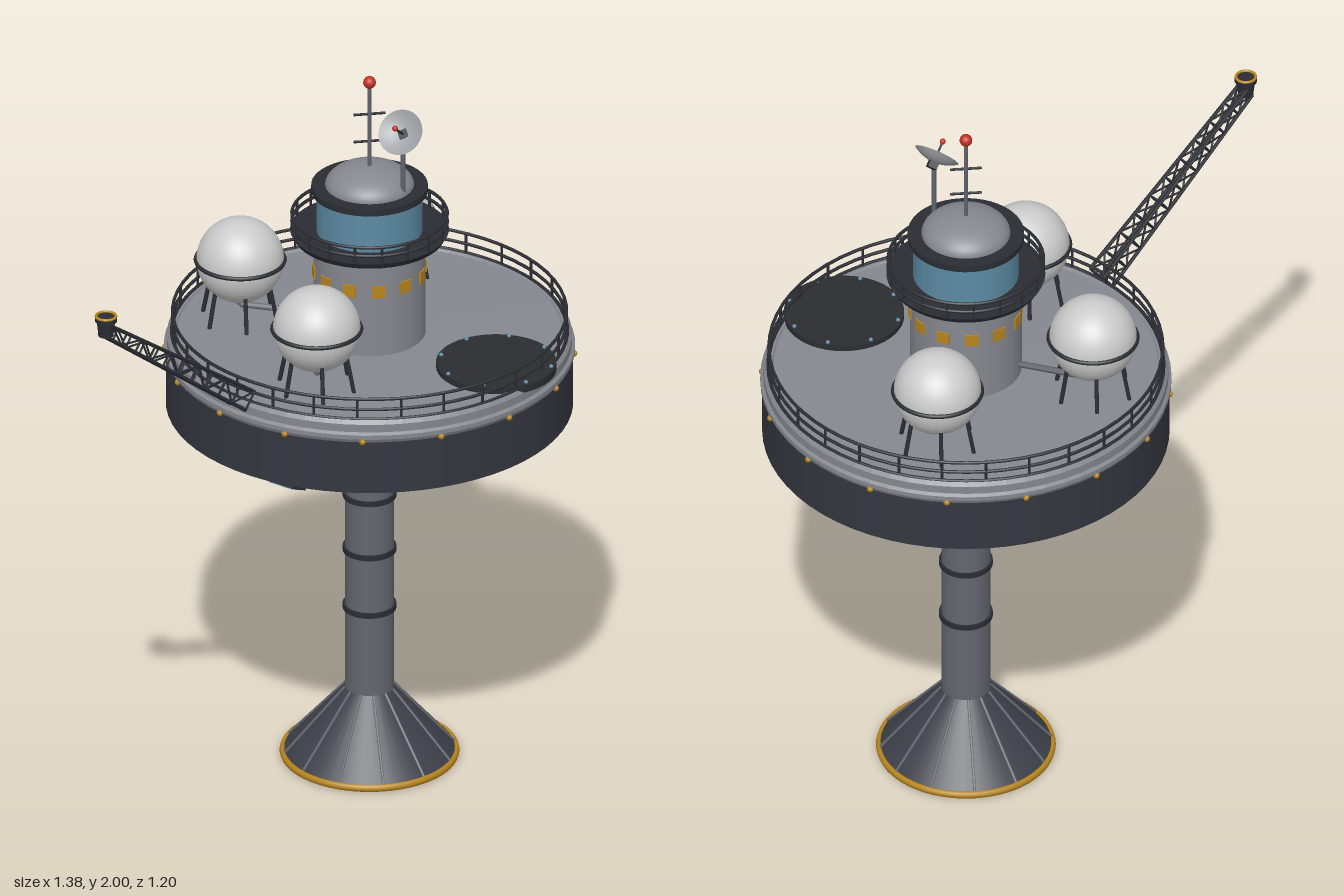
import * as THREE from 'three';

const mat = (color, side = THREE.FrontSide) => new THREE.MeshStandardMaterial({ color, side });
const V = (x, y, z) => new THREE.Vector3(x, y, z);
const UP = V(0, 1, 0);

export function createModel() {
  const root = new THREE.Group();
  root.name = 'oceanPlatform';
  root.position.set(0.143, 0, -0.06); // main axis stands off-centre because of the crane

  const hullDark = mat(0x343740), steel = mat(0x63666e), deckGrey = mat(0x85888f);
  const trim = mat(0x2b2d33), gold = mat(0xb8861c), glass = mat(0x5c8aa3);
  const pale = mat(0xcccccc), red = mat(0xc03020), padDark = mat(0x2c2d30);
  const coneMat = mat(0x3d4049, THREE.DoubleSide), dishMat = mat(0xa0a3a8, THREE.DoubleSide);

  const add = (name, geo, material, x = 0, y = 0, z = 0, parent = root) => {
    const m = new THREE.Mesh(geo, material);
    m.name = name;
    m.position.set(x, y, z);
    parent.add(m);
    return m;
  };
  const group = (name, parent = root) => {
    const g = new THREE.Group();
    g.name = name;
    parent.add(g);
    return g;
  };
  // Upright cylinder from y0 to y1
  const drum = (name, rTop, rBottom, y0, y1, material, parent = root, x = 0, z = 0, seg = 48) =>
    add(name, new THREE.CylinderGeometry(rTop, rBottom, y1 - y0, seg), material, x, (y0 + y1) / 2, z, parent);
  // Horizontal ring
  const ring = (name, r, tube, y, material, parent = root, x = 0, z = 0) => {
    const m = add(name, new THREE.TorusGeometry(r, tube, 8, 64), material, x, y, z, parent);
    m.rotation.x = Math.PI / 2;
    return m;
  };
  // Round bar between two points
  const bar = (name, a, b, r, material, parent = root) => {
    const d = b.clone().sub(a);
    const m = add(name, new THREE.CylinderGeometry(r, r, d.length(), 6), material, 0, 0, 0, parent);
    m.position.copy(a).add(b).multiplyScalar(0.5);
    m.quaternion.setFromUnitVectors(UP, d.normalize());
    return m;
  };
  // Point at angle a (0 faces +z), radius r
  const polar = (a, r, y) => V(Math.sin(a) * r, y, Math.cos(a) * r);
  const around = (n, fn, offset = 0) => {
    for (let i = 0; i < n; i++) fn(((i + offset) / n) * Math.PI * 2);
  };
  const railing = (name, r, yBase, heights, posts) => {
    const g = group(name);
    heights.forEach(y => ring('handRail', r, 0.0045, y, trim, g));
    around(posts, a => bar('railPost', polar(a, r, yBase), polar(a, r, heights[0]), 0.004, trim, g));
  };

  // Flared foot with ribs and edge ring
  add('foot', new THREE.CylinderGeometry(0.065, 0.232, 0.19, 48, 1, true), coneMat, 0, 0.107, 0);
  ring('footEdge', 0.23, 0.0075, 0.012, gold).scale.z = 1.4;
  around(12, a => bar('footRib', polar(a, 0.232, 0.014), polar(a, 0.066, 0.202), 0.004, steel));

  // Column with collars
  drum('column', 0.065, 0.065, 0.19, 0.93, steel);
  [0.44, 0.61, 0.77].forEach(y => drum('columnCollar', 0.071, 0.071, y - 0.007, y + 0.007, trim));

  // Hull: straight wall over a tapered underside
  drum('hullWall', 0.538, 0.538, 1.04, 1.196, hullDark, root, 0, 0, 64);
  drum('hullUnderside', 0.538, 0.267, 0.909, 1.04, hullDark, root, 0, 0, 64);

  // Hull viewports, tilted to the taper
  around(4, a => {
    const g = group('viewport');
    g.position.copy(polar(a, 0.375, 0.962));
    g.rotation.order = 'YXZ';
    g.rotation.set(Math.atan2(0.271, 0.131), a, 0);
    add('viewportHousing', new THREE.BoxGeometry(0.09, 0.065, 0.03), trim, 0, 0, 0, g);
    add('viewportGlass', new THREE.BoxGeometry(0.07, 0.047, 0.006), glass, 0, 0, 0.015, g);
  }, 0.5);

  // Deck with rounded rim
  const rim = [[0, 1.19], [0.538, 1.19], [0.543, 1.2], [0.543, 1.212], [0.535, 1.218],
    [0.535, 1.24], [0.527, 1.25], [0.512, 1.25], [0.508, 1.245], [0, 1.25]];
  const rimGeo = new THREE.LatheGeometry(rim.map(p => new THREE.Vector2(...p)), 64).toNonIndexed();
  rimGeo.computeVertexNormals();
  add('deck', rimGeo, deckGrey);
  ring('deckEdgeTrim', 0.522, 0.005, 1.25, trim);
  around(16, a => {
    const p = polar(a, 0.54, 1.192);
    add('hullLamp', new THREE.SphereGeometry(0.009, 8, 6), gold, p.x, p.y, p.z);
  }, 0.5);
  railing('deckRailing', 0.52, 1.245, [1.308, 1.278], 28);

  // Tower with lit windows
  drum('tower', 0.148, 0.148, 1.245, 1.54, deckGrey);
  around(12, a => {
    const p = polar(a, 0.147, 1.437);
    add('towerWindow', new THREE.BoxGeometry(0.036, 0.034, 0.008), gold, p.x, p.y, p.z).rotation.y = a;
  });

  // Gallery, glazed cabin and domed roof
  drum('galleryFloor', 0.21, 0.2, 1.533, 1.55, trim);
  railing('galleryRailing', 0.205, 1.55, [1.597, 1.572], 18);
  drum('cabinGlass', 0.14, 0.14, 1.55, 1.667, glass);
  drum('roofSlab', 0.154, 0.154, 1.664, 1.682, trim);
  add('roofDome', new THREE.SphereGeometry(0.118, 40, 12, 0, Math.PI * 2, 0, Math.PI / 2), deckGrey, 0, 1.68, 0)
    .scale.y = 0.5;

  // Mast with cross arms and beacon
  bar('mast', V(0, 1.72, 0), V(0, 1.98, 0), 0.006, steel);
  [1.81, 1.89].forEach(y => bar('mastArm', V(-0.042, y, 0), V(0.042, y, 0), 0.0035, trim));
  add('beacon', new THREE.SphereGeometry(0.017, 16, 12), red, 0, 1.983, 0);

  // Dish antenna on its post
  bar('dishPost', V(0.077, 1.68, 0.077), V(0.077, 1.86, 0.077), 0.007, steel);
  const dish = group('dishAntenna');
  dish.position.set(0.077, 1.862, 0.077);
  dish.quaternion.setFromUnitVectors(UP, V(-0.45, 0.62, 0.62).normalize());
  const bowl = [0, 0.2, 0.4, 0.6, 0.8, 1].map(t => new THREE.Vector2(0.062 * t, 0.02 * t * t));
  add('dishBowl', new THREE.LatheGeometry(bowl, 32), dishMat, 0, 0, 0, dish);
  add('dishHub', new THREE.BoxGeometry(0.025, 0.02, 0.025), trim, 0, -0.008, 0, dish);
  bar('feedArm', V(0, 0, 0), V(0, 0.058, 0), 0.003, trim, dish);
  add('feedTip', new THREE.SphereGeometry(0.008, 10, 8), red, 0, 0.06, 0, dish);

  // Storage spheres with belts, legs and pipes to the tower
  [[0.11, -0.336], [-0.323, -0.14], [-0.189, 0.293]].forEach(([x, z]) => {
    const g = group('storageTank');
    g.position.set(x, 0, z);
    add('tankSphere', new THREE.SphereGeometry(0.116, 32, 24), pale, 0, 1.417, 0, g);
    ring('tankBelt', 0.117, 0.006, 1.417, trim, g);
    around(6, a => bar('tankLeg', polar(a, 0.085, 1.345), polar(a, 0.105, 1.245), 0.006, trim, g));
    const k = 0.14 / Math.hypot(x, z);
    bar('tankPipe', V(0, 1.285, 0), V(x * k - x, 1.285, z * k - z), 0.009, steel, g);
    bar('tankOutlet', V(0, 1.285, 0), V(0, 1.32, 0), 0.009, steel, g);
  });

  // Landing pad with edge lights
  const px = 0.297, pz = 0.256;
  drum('landingPad', 0.159, 0.159, 1.24, 1.262, padDark, root, px, pz);
  around(8, a => {
    const p = polar(a, 0.149, 1.264);
    add('padLight', new THREE.SphereGeometry(0.006, 8, 6), glass, p.x + px, p.y, p.z + pz);
  }, 0.5);

  // Lattice crane boom
  const crane = group('craneBoom');
  const start = V(-0.395, 1.255, 0.345), end = V(-0.808, 1.63, 0.632);
  const dir = end.clone().sub(start).normalize();
  const side = dir.clone().cross(UP).normalize(), lift = side.clone().cross(dir);
  const corners = [[1, 1], [-1, 1], [-1, -1], [1, -1]];
  const node = (t, c) => {
    const w = 0.027 - 0.011 * t, [s, l] = corners[c % 4];
    return start.clone().lerp(end, t).addScaledVector(side, s * w).addScaledVector(lift, l * w);
  };
  const bays = 10;
  for (let c = 0; c < 4; c++) {
    bar('boomChord', node(0, c), node(1, c), 0.005, trim, crane);
    for (let i = 0; i <= bays; i++) {
      bar('boomStrut', node(i / bays, c), node(i / bays, c + 1), 0.003, trim, crane);
      if (i < bays) bar('boomBrace', node(i / bays, c + i % 2), node((i + 1) / bays, c + 1 - i % 2), 0.003, trim, crane);
    }
  }
  drum('boomHead', 0.025, 0.02, 1.615, 1.66, trim, crane, end.x, end.z, 12);
  drum('boomHeadCap', 0.03, 0.03, 1.658, 1.672, trim, crane, end.x, end.z, 12);
  ring('boomHeadRing', 0.026, 0.004, 1.672, gold, crane, end.x, end.z);

  return root;
}
